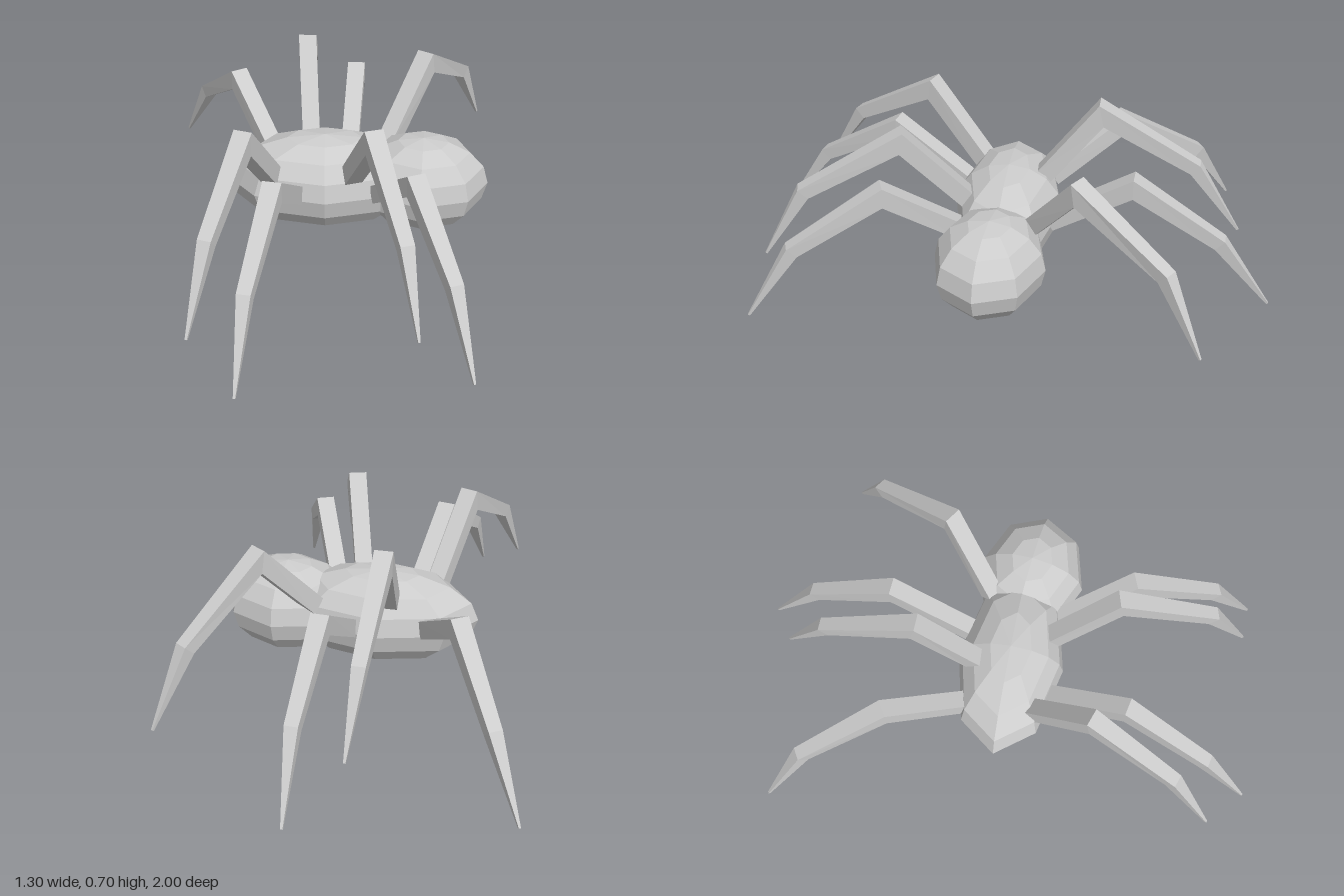
import * as THREE from 'three';

const material = new THREE.MeshStandardMaterial({ color: 0xcccccc, flatShading: true });

// Faceted ellipsoid used for both body segments
function bodyPart(name, position, radii, turn) {
  const geometry = new THREE.SphereGeometry(1, 8, 8);
  geometry.scale(...radii);
  geometry.rotateY(turn);
  const mesh = new THREE.Mesh(geometry, material);
  mesh.name = name;
  mesh.position.set(...position);
  return mesh;
}

// Square-section leg, mitred at each joint and tapering to a point
function makeLeg(name, coords) {
  const halfWidths = [0.033, 0.034, 0.025, 0.004];
  const points = coords.map((c) => new THREE.Vector3(...c));
  const last = points.length - 1;
  const outward = points[last].clone().sub(points[0]).setY(0).normalize();
  const side = new THREE.Vector3().crossVectors(outward, new THREE.Vector3(0, 1, 0)).normalize();
  const positions = [];
  const indices = [];

  points.forEach((p, i) => {
    const before = p.clone().sub(points[Math.max(i - 1, 0)]).normalize();
    const after = points[Math.min(i + 1, last)].clone().sub(p).normalize();
    const tangent = before.clone().add(after).normalize();
    const up = new THREE.Vector3().crossVectors(side, tangent).normalize();
    const mitre = i > 0 && i < last ? 1 / tangent.dot(after) : 1;
    const w = halfWidths[i];
    for (const [s, u] of [[1, 1], [-1, 1], [-1, -1], [1, -1]]) {
      const corner = p.clone().addScaledVector(side, s * w).addScaledVector(up, u * w * mitre);
      positions.push(corner.x, corner.y, corner.z);
    }
  });

  // Side walls between neighbouring sections
  for (let i = 0; i < last; i++) {
    for (let k = 0; k < 4; k++) {
      const a = i * 4 + k;
      const b = i * 4 + ((k + 1) % 4);
      indices.push(a, a + 4, b, b, a + 4, b + 4);
    }
  }
  // End caps
  const e = last * 4;
  indices.push(0, 1, 2, 0, 2, 3, e, e + 2, e + 1, e, e + 3, e + 2);

  const indexed = new THREE.BufferGeometry();
  indexed.setAttribute('position', new THREE.Float32BufferAttribute(positions, 3));
  indexed.setIndex(indices);
  const geometry = indexed.toNonIndexed();
  geometry.computeVertexNormals();
  const legMaterial = material.clone();
  legMaterial.side = THREE.DoubleSide;
  const mesh = new THREE.Mesh(geometry, legMaterial);
  mesh.name = name;
  return mesh;
}

export function createModel() {
  const model = new THREE.Group();
  model.name = 'spider';

  model.add(bodyPart('abdomen', [-0.022, 0.255, 0.01], [0.373, 0.185, 0.205], 0));
  model.add(bodyPart('head', [0.35, 0.25, 0.025], [0.25, 0.182, 0.208], -0.1));

  // Each leg: hip, knee, ankle, tip
  const legs = {
    backLegOne: [[-0.22, 0.28, -0.13], [-0.37, 0.47, -0.4], [-0.53, 0.265, -0.7], [-0.645, 0, -0.845]],
    backLegTwo: [[-0.075, 0.38, -0.12], [-0.09, 0.655, -0.33], [-0.08, 0.455, -0.69], [-0.065, 0.2, -0.87]],
    backLegThree: [[0.075, 0.27, -0.16], [0.105, 0.47, -0.47], [0.125, 0.265, -0.8], [0.12, 0, -1]],
    backLegFour: [[0.22, 0.33, -0.11], [0.375, 0.6, -0.29], [0.55, 0.405, -0.61], [0.645, 0.14, -0.745]],
    frontLegOne: [[-0.22, 0.33, 0.13], [-0.305, 0.595, 0.355], [-0.41, 0.4, 0.68], [-0.475, 0.13, 0.85]],
    frontLegTwo: [[-0.135, 0.27, 0.17], [-0.2, 0.47, 0.475], [-0.28, 0.27, 0.8], [-0.312, 0, 0.99]],
    frontLegThree: [[0.075, 0.33, 0.14], [0.15, 0.615, 0.385], [0.245, 0.42, 0.74], [0.288, 0.155, 0.895]],
    frontLegFour: [[0.18, 0.27, 0.16], [0.295, 0.47, 0.43], [0.41, 0.27, 0.75], [0.475, 0, 0.92]],
  };
  for (const [name, coords] of Object.entries(legs)) model.add(makeLeg(name, coords));

  return model;
}
